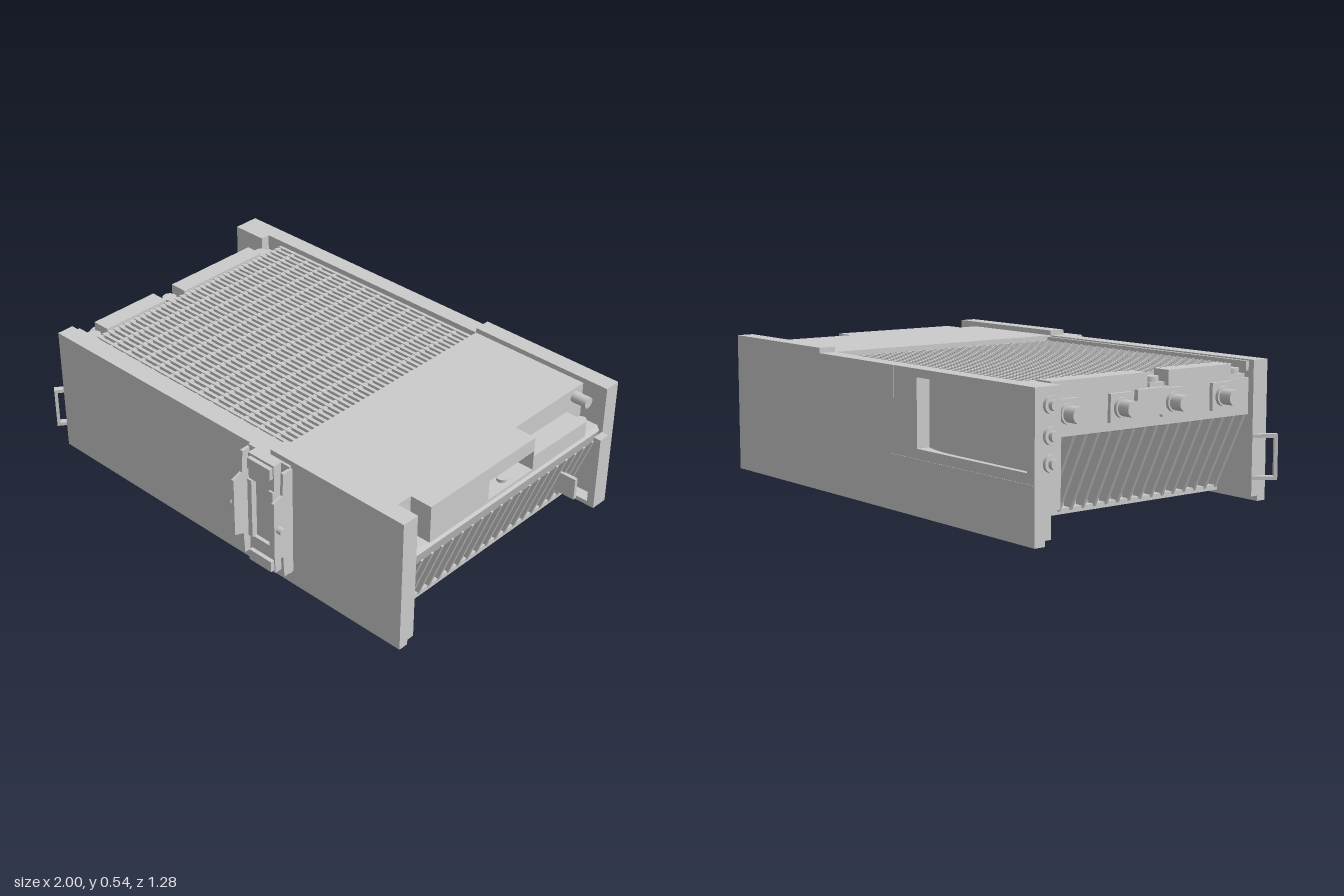
import * as THREE from 'three';

export function createModel() {
  const root = new THREE.Group();
  root.name = 'rackUnit';
  const mat = new THREE.MeshStandardMaterial({ color: 0xcccccc, side: THREE.DoubleSide });

  function add(name, geo, parent = root) {
    const m = new THREE.Mesh(geo, mat);
    m.name = name;
    parent.add(m);
    return m;
  }
  // box from its limits
  function box(name, x0, x1, y0, y1, z0, z1, parent) {
    const g = new THREE.BoxGeometry(x1 - x0, y1 - y0, z1 - z0);
    g.translate((x0 + x1) / 2, (y0 + y1) / 2, (z0 + z1) / 2);
    return add(name, g, parent);
  }
  // cylinder along an axis, centred on a point
  function rod(name, axis, r, len, x, y, z) {
    const g = new THREE.CylinderGeometry(r, r, len, 24);
    if (axis === 'x') g.rotateZ(Math.PI / 2);
    if (axis === 'z') g.rotateX(Math.PI / 2);
    g.translate(x, y, z);
    return add(name, g);
  }
  const toShape = (pts) => new THREE.Shape(pts.map((p) => new THREE.Vector2(p[0], p[1])));
  // xy outline pushed along z
  function prismZ(name, pts, z0, z1, hole) {
    const s = toShape(pts);
    if (hole) s.holes.push(toShape(hole));
    const g = new THREE.ExtrudeGeometry(s, { depth: z1 - z0, bevelEnabled: false });
    g.translate(0, 0, z0);
    return add(name, g);
  }
  // zy outline pushed along x
  function prismX(name, pts, x0, x1, hole) {
    const flip = (a) => a.map((p) => [-p[0], p[1]]);
    const s = toShape(flip(pts));
    if (hole) s.holes.push(toShape(flip(hole)));
    const g = new THREE.ExtrudeGeometry(s, { depth: x1 - x0, bevelEnabled: false });
    g.rotateY(Math.PI / 2);
    g.translate(x0, 0, 0);
    return add(name, g);
  }
  const rect = (a0, a1, b0, b1) => [[a0, b0], [a1, b0], [a1, b1], [a0, b1]];

  // Housing: bottom plate, inner core and rim
  box('bottomPlate', -0.67, 0.8, 0.02, 0.04, -0.57, 0.475);
  box('core', -0.64, 0.77, 0.04, 0.3, -0.57, 0.475);
  prismZ('rim', [[-0.82, 0.32], [-0.7, 0.29], [0.8, 0.29], [0.89, 0.29], [0.91, 0.35], [0.9, 0.37],
    [0.31, 0.37], [0.31, 0.455], [-0.82, 0.455]], -0.57, 0.475);

  // Slanted cooling fins showing at both ends
  for (let i = 0; i < 20; i++) {
    const z = -0.556 + i * 0.0537;
    prismZ('coolingFin', [[-0.67, 0.03], [0.8, 0.03], [0.9, 0.3], [-0.82, 0.33]], z - 0.006, z + 0.006);
  }

  // Top grating: long ribs with cross bars
  const grating = new THREE.Group();
  grating.name = 'topGrating';
  root.add(grating);
  for (let i = 0; i < 39; i++) {
    const z = -0.56 + i * 0.0268;
    box('rib', -0.745, 0.31, 0.455, 0.5, z - 0.007, z + 0.007, grating);
  }
  for (let i = 0; i < 14; i++) {
    const x = -0.738 + i * 0.08;
    box('crossBar', x - 0.007, x + 0.007, 0.455, 0.497, -0.57, 0.465, grating);
  }

  // Connector end: raised blocks with screw seats between them
  for (const [a, b] of [[-0.45, -0.02], [0.08, 0.385]]) {
    box('endBlock', -0.82, -0.745, 0.45, 0.51, a, b);
  }
  for (const z of [-0.485, 0.03, 0.425]) {
    box('screwSeat', -0.815, -0.745, 0.45, 0.47, z - 0.035, z + 0.035);
    rod('screw', 'y', 0.028, 0.02, -0.78, 0.48, z);
  }
  box('centreTab', -0.838, -0.82, 0.36, 0.455, -0.08, 0.04);
  for (const z of [-0.39, -0.15, 0.09, 0.33]) {
    box('connectorFlange', -0.835, -0.81, 0.35, 0.45, z - 0.05, z + 0.05);
    rod('connector', 'x', 0.029, 0.09, -0.855, 0.4, z);
    rod('connectorCollar', 'x', 0.036, 0.02, -0.838, 0.4, z);
  }

  // Cover with stepped end and finger recess
  box('cover', 0.31, 0.82, 0.37, 0.52, -0.57, 0.475);
  prismX('coverEnd', [[0.39, 0.37], [0.39, 0.52], [-0.17, 0.52], [-0.17, 0.44], [-0.48, 0.435], [-0.48, 0.37]],
    0.82, 0.91, rect(-0.168, 0.08, 0.382, 0.462));
  rod('recessScrew', 'y', 0.02, 0.02, 0.87, 0.385, -0.045);
  for (const z of [0.435, -0.52]) rod('cornerScrew', 'y', 0.02, 0.035, 0.86, 0.385, z);
  rod('sidePin', 'x', 0.022, 0.07, 0.85, 0.485, -0.52);

  // Front side panel with lower lip
  const sideOutline = (x0, y0) => [[x0, y0], [0.925, y0], [0.925, 0.54], [0.31, 0.54], [0.31, 0.52], [x0, 0.52]];
  prismZ('frontPanel', sideOutline(-0.845, 0.02), 0.475, 0.545);
  box('frontPanelLip', -0.845, 0.925, 0, 0.02, 0.505, 0.545);
  box('frontPanelFlange', -0.82, 0.31, 0.48, 0.515, 0.46, 0.476);

  // Rear side panel with hollowed pocket
  prismZ('rearPanel', sideOutline(-0.97, 0.02), -0.638, -0.57, rect(-0.93, -0.32, 0.24, 0.49));
  box('rearPanelLip', -0.97, 0.925, 0, 0.02, -0.638, -0.595);
  const pocket = new THREE.Shape();
  pocket.moveTo(-0.94, 0.57);
  pocket.lineTo(-0.31, 0.57);
  pocket.lineTo(-0.31, 0.58);
  pocket.quadraticCurveTo(-0.38, 0.612, -0.5, 0.614);
  pocket.lineTo(-0.94, 0.618);
  const pocketGeo = new THREE.ExtrudeGeometry(pocket, { depth: 0.26, bevelEnabled: false, curveSegments: 10 });
  pocketGeo.rotateX(-Math.PI / 2);
  pocketGeo.translate(0, 0.235, 0);
  add('pocketFloor', pocketGeo);
  box('panelSeam', -0.96, -0.16, 0.2, 0.204, -0.64, -0.637);
  box('panelSeam', -0.182, -0.176, 0.4, 0.52, -0.64, -0.637);

  // Thick end of the rear panel with its small connectors
  box('rearEndBlock', -0.97, -0.82, 0.115, 0.52, -0.575, -0.53);
  for (const y of [0.46, 0.36, 0.27]) {
    rod('smallConnectorBase', 'x', 0.03, 0.016, -0.975, y, -0.575);
    rod('smallConnector', 'x', 0.018, 0.03, -0.985, y, -0.575);
  }

  // Front latch
  box('latchBase', 0.21, 0.41, 0.05, 0.52, 0.545, 0.555);
  for (const y of [0.05, 0.41]) box('latchBlock', 0.245, 0.37, y, y + 0.11, 0.55, 0.59);
  box('latchPlate', 0.265, 0.35, 0.16, 0.41, 0.55, 0.575);
  for (const x of [0.245, 0.35]) box('latchRail', x, x + 0.02, 0.16, 0.41, 0.55, 0.598);
  for (const y of [0.06, 0.465]) box('latchTab', 0.255, 0.365, y, y + 0.045, 0.585, 0.606);
  for (const s of [-1, 1]) {
    const x = 0.31 + s * 0.1;
    prismX('latchEar', [[0.545, 0.06], [0.59, 0.06], [0.595, 0.15], [0.637, 0.165], [0.637, 0.405],
      [0.595, 0.42], [0.59, 0.51], [0.545, 0.51]], x - 0.006, x + 0.006);
    rod('latchPin', 'x', 0.014, 0.03, 0.31 + s * 0.112, 0.285, 0.615);
  }

  // Lever at the cover end
  box('leverBar', 0.97, 1.0, 0.11, 0.41, -0.495, -0.447);
  box('leverArm', 0.79, 1.0, 0.105, 0.122, -0.495, -0.447);
  box('leverBracket', 0.8, 0.92, 0.11, 0.2, -0.447, -0.432);

  // Angled pull loop at the connector end
  const loop = new THREE.Group();
  loop.name = 'pullLoop';
  loop.position.set(-0.84, 0, 0.49);
  loop.rotation.y = Math.atan2(-0.81, -0.58);
  root.add(loop);
  for (const y of [0.08, 0.235]) box('loopArm', -0.01, 0.085, y, y + 0.014, -0.012, 0.012, loop);
  box('loopGrip', 0.072, 0.085, 0.08, 0.249, -0.012, 0.012, loop);

  return root;
}
